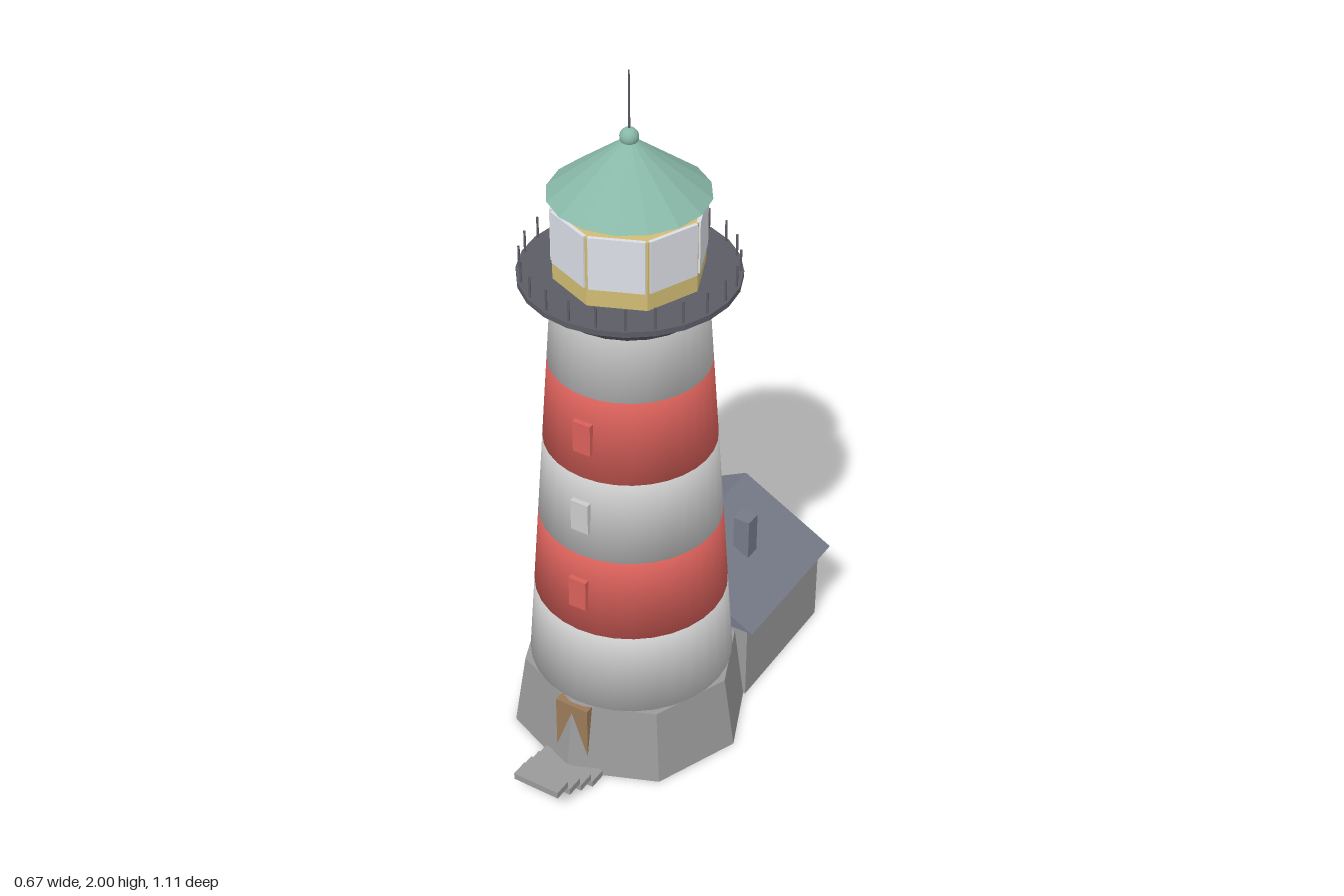
import * as THREE from 'three';
import { mergeVertices } from 'three/addons/utils/BufferGeometryUtils.js';

const mat = (color, flatShading = true) => new THREE.MeshStandardMaterial({ color, flatShading });
const white = mat(0xcccccc, false), red = mat(0xd9605a, false);
const stone = mat(0x9a9a9a), slate = mat(0x757a88), iron = mat(0x5c5c66);
const brass = mat(0xd2bd74), glass = mat(0xdcdfe6), copper = mat(0x88b8a8), wood = mat(0x9a7a58);

function add(parent, name, geometry, material, x = 0, y = 0, z = 0) {
  const mesh = new THREE.Mesh(geometry, material);
  mesh.name = name;
  mesh.position.set(x, y, z);
  parent.add(mesh);
  return mesh;
}

// Cylinder or frustum standing between heights y0 and y1
function drum(parent, name, material, rBottom, rTop, y0, y1, sides) {
  return add(parent, name, new THREE.CylinderGeometry(rTop, rBottom, y1 - y0, sides), material, 0, (y0 + y1) / 2);
}

// Box given by its limits on each axis
function block(parent, name, material, [x0, x1], [y0, y1], [z0, z1]) {
  return add(parent, name, new THREE.BoxGeometry(x1 - x0, y1 - y0, z1 - z0), material,
    (x0 + x1) / 2, (y0 + y1) / 2, (z0 + z1) / 2);
}

// Drum whose walls and caps share normals, for softly rounded shading
function softDrum(rBottom, rTop, height, sides) {
  const g = new THREE.CylinderGeometry(rTop, rBottom, height, sides);
  g.deleteAttribute('normal');
  g.deleteAttribute('uv');
  const soft = mergeVertices(g);
  soft.computeVertexNormals();
  return soft;
}

const towerRadius = (y) => 0.28 - (y - 0.22) * 0.0696;

function buildTower() {
  const tower = new THREE.Group();
  tower.name = 'tower';
  drum(tower, 'base', stone, 0.333, 0.3, 0, 0.22, 8);

  // Striped shaft
  const h = 0.2425;
  for (let i = 0; i < 5; i++) {
    const y = 0.22 + i * h;
    add(tower, 'band', softDrum(towerRadius(y), towerRadius(y + h), h, 32), i % 2 ? red : white, 0, y + h / 2);
  }

  // Windows up the front, coloured like the band behind them
  [0.585, 0.83, 1.07].forEach((y, i) => {
    const pane = add(tower, 'window', new THREE.BoxGeometry(0.052, 0.092, 0.02),
      i === 1 ? mat(0xcccccc) : mat(0xd9605a), 0, y, towerRadius(y));
    pane.rotation.x = -0.0; 
  });

  // Door, crossed by the front corner of the base
  block(tower, 'door', wood, [-0.05, 0.05], [0, 0.22], [0.27, 0.304]);

  // Gallery with railing posts
  drum(tower, 'gallerySupport', iron, 0.2, 0.275, 1.37, 1.435, 24);
  drum(tower, 'galleryFloor', iron, 0.283, 0.283, 1.435, 1.45, 24);
  for (let i = 0; i < 24; i++) {
    const a = (i / 24) * Math.PI * 2;
    add(tower, 'railingPost', new THREE.CylinderGeometry(0.003, 0.003, 0.06, 6), iron,
      Math.sin(a) * 0.274, 1.48, Math.cos(a) * 0.274);
  }

  // Lantern room: brass core with a pane on each of its eight sides
  drum(tower, 'lanternCore', brass, 0.195, 0.195, 1.45, 1.642, 8);
  for (let i = 0; i < 8; i++) {
    const a = ((i + 0.5) / 8) * Math.PI * 2;
    const pane = add(tower, 'lanternPane', new THREE.BoxGeometry(0.14, 0.145, 0.01), glass,
      Math.sin(a) * 0.18, 1.572, Math.cos(a) * 0.18);
    pane.rotation.y = a;
  }

  // Roof, ball and spire
  drum(tower, 'lanternRoof', copper, 0.205, 0.02, 1.67, 1.812, 16);
  add(tower, 'roofBall', new THREE.SphereGeometry(0.024, 16, 12), mat(0x88b8a8, false), 0, 1.823);
  drum(tower, 'spire', iron, 0.003, 0.002, 1.84, 2, 6);

  tower.position.z = 0.075;
  return tower;
}

function buildHouse() {
  const house = new THREE.Group();
  house.name = 'house';
  block(house, 'walls', stone, [-0.26, 0.26], [0, 0.25], [-0.53, -0.117]);

  // Gabled roof
  const gable = new THREE.Shape([[-0.285, 0.247], [0.285, 0.247], [0, 0.4]].map((p) => new THREE.Vector2(...p)));
  add(house, 'roof', new THREE.ExtrudeGeometry(gable, { depth: 0.455, bevelEnabled: false }), slate, 0, 0, -0.555);
  block(house, 'chimney', slate, [0.103, 0.152], [0.32, 0.445], [-0.353, -0.305]);
  return house;
}

export function createModel() {
  const model = new THREE.Group();
  model.name = 'lighthouse';
  model.add(buildTower(), buildHouse());

  // Steps in front of the door, rising and narrowing outward
  [0.0925, 0.085, 0.079, 0.07].forEach((w, i) => {
    block(model, 'step', stone, [-w, w], [i * 0.02, i * 0.02 + 0.02], [0.372 + i * 0.045, 0.422 + i * 0.045]);
  });
  return model;
}
